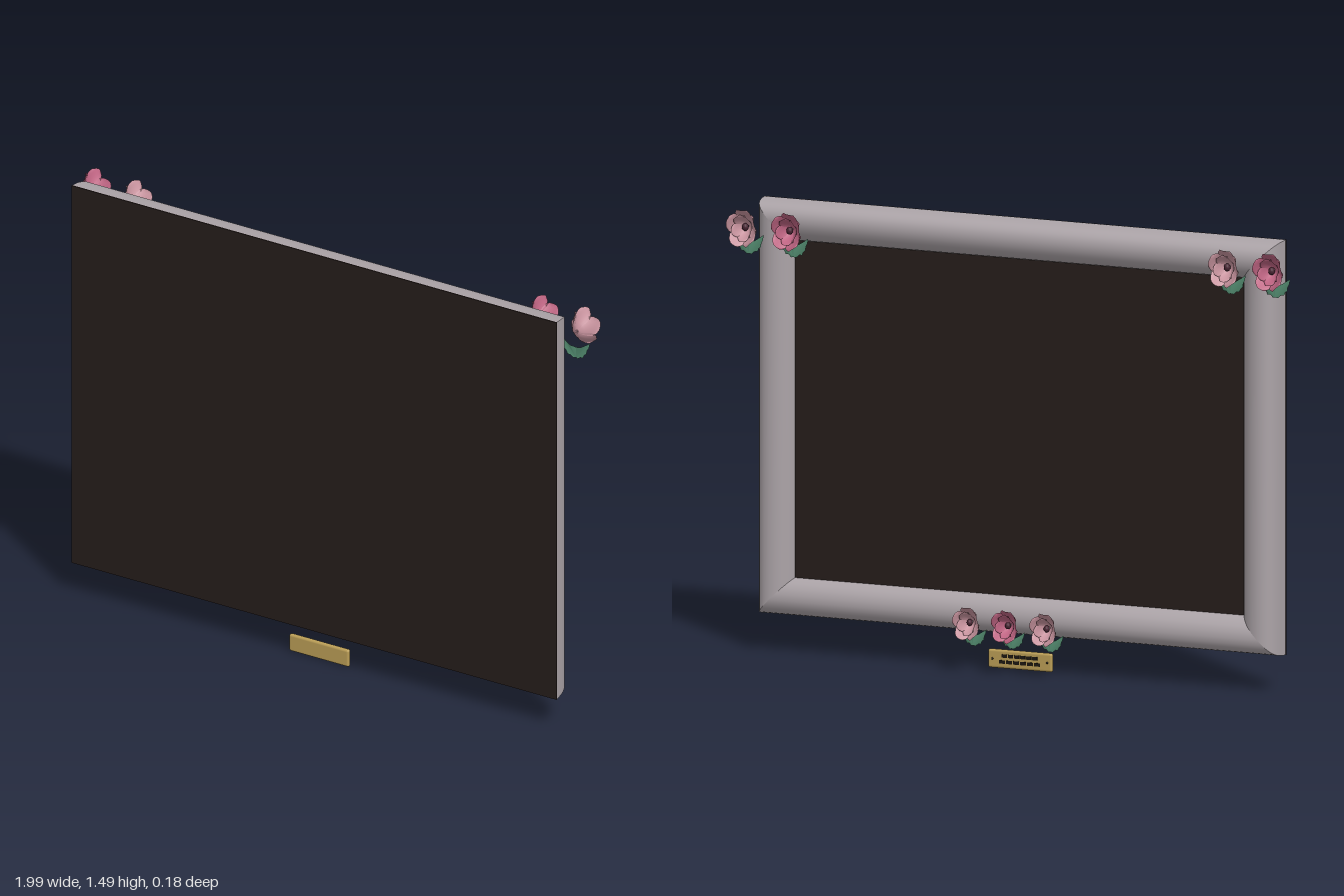
import * as THREE from 'three';
import { RoundedBoxGeometry } from 'three/addons/geometries/RoundedBoxGeometry.js';

const mat = (name, color, side = THREE.FrontSide) => {
  const m = new THREE.MeshStandardMaterial({ color, side });
  m.name = name;
  return m;
};

const W = 0.932, Y0 = 0.115, Y1 = 1.492, MID = (Y0 + Y1) / 2;

// One mitred rail of the frame: a moulding profile [inset, z] swept between two corners
function railGeometry(side) {
  const profile = [
    [0, 0.088], [0.003, 0.055], [0.007, 0.035], [0.012, 0.021], [0.018, 0.011], [0.028, 0.001], [0.042, -0.006],
    [0.06, -0.009], [0.08, -0.006], [0.1, 0.003], [0.115, 0.018], [0.125, 0.034], [0.131, 0.052],
  ];
  const pos = [], index = [];
  profile.forEach(([d, z], i) => {
    const c = [[-W + d, Y0 + d], [W - d, Y0 + d], [W - d, Y1 - d], [-W + d, Y1 - d]];
    pos.push(...c[side], z, ...c[(side + 1) % 4], z);
    if (i < profile.length - 1) {
      const a = i * 2;
      index.push(a, a + 3, a + 1, a, a + 2, a + 3);
    }
  });
  const g = new THREE.BufferGeometry();
  g.setAttribute('position', new THREE.Float32BufferAttribute(pos, 3));
  g.setIndex(index);
  g.computeVertexNormals();
  return g;
}

// A cupped petal opening towards -z, with a pointed, slightly wavy rim
function petalGeometry(radius, depth, halfAngle) {
  const g = new THREE.PlaneGeometry(2, 1, 6, 8);
  const p = g.attributes.position;
  for (let i = 0; i < p.count; i++) {
    const u = p.getX(i), v = p.getY(i) + 0.5;
    const a = u * halfAngle * (1 - 0.55 * Math.pow(v, 5));
    const r = radius * (0.1 + 0.9 * Math.pow(v, 0.7)) * (1 + 0.04 * u * u);
    const h = depth * Math.pow(v, 1.25) * (1 - 0.2 * u * u * v);
    p.setXYZ(i, r * Math.cos(a), r * Math.sin(a), -h);
  }
  g.computeVertexNormals();
  return g;
}

// A serrated leaf, gently bent
function leafGeometry() {
  const outline = [
    [0, -0.054], [0.018, -0.05], [0.034, -0.04], [0.054, -0.027], [0.05, -0.045], [0.044, -0.055],
    [0.042, -0.068], [0.034, -0.074], [0.029, -0.085], [0.019, -0.085], [0.009, -0.094], [0, -0.092],
  ];
  const g = new THREE.ShapeGeometry(new THREE.Shape(outline.map(([x, y]) => new THREE.Vector2(x, y))));
  const p = g.attributes.position;
  for (let i = 0; i < p.count; i++) p.setZ(i, -0.019 + 0.005 * Math.sin(p.getX(i) * 60));
  g.computeVertexNormals();
  return g;
}

export function createModel() {
  const model = new THREE.Group();
  const silver = mat('silver grey', 0xaba3a7);
  const dark = mat('dark brown', 0x261d1b);
  const gold = mat('gold', 0xbb9e56);
  const ink = mat('engraving black', 0x1c1710);
  const rose = mat('deep pink', 0xbe6482, THREE.DoubleSide);
  const blush = mat('pale pink', 0xc9949f, THREE.DoubleSide);
  const green = mat('leaf green', 0x558f73, THREE.DoubleSide);
  const heart = mat('dark plum', 0x4a2634);

  const add = (parent, name, geometry, material, x = 0, y = 0, z = 0) => {
    const m = new THREE.Mesh(geometry, material);
    m.name = name;
    m.position.set(x, y, z);
    parent.add(m);
    return m;
  };

  // Frame moulding
  const frame = new THREE.Group();
  frame.name = 'frame';
  ['bottomRail', 'leftRail', 'topRail', 'rightRail'].forEach((n, i) => add(frame, n, railGeometry(i), silver));
  model.add(frame);

  // Backing board and the recessed picture panel
  add(model, 'backingBoard', new THREE.BoxGeometry(2 * W, Y1 - Y0, 0.004), dark, 0, MID, 0.089);
  add(model, 'picturePanel', new THREE.BoxGeometry(2 * W - 0.25, Y1 - Y0 - 0.25, 0.008), dark, 0, MID, 0.05);

  // Plaque with engraved bars and pins
  const plaque = new THREE.Group();
  plaque.name = 'plaque';
  plaque.position.set(0, 0.031, 0.054);
  add(plaque, 'plate', new RoundedBoxGeometry(0.23, 0.062, 0.016, 4, 0.008), gold);
  [[0.011, 0.13], [-0.009, 0.15]].forEach(([y, width]) => {
    const n = 6, step = width / n;
    for (let i = 0; i < n; i++) {
      add(plaque, 'engravedBar', new THREE.BoxGeometry(step * 0.85, 0.011, 0.004), ink, (i - (n - 1) / 2) * step, y, -0.0085);
    }
  });
  for (const s of [-1, 1]) add(plaque, 'pin', new THREE.SphereGeometry(0.004, 10, 8), ink, s * 0.098, 0, -0.007);
  model.add(plaque);

  // Flowers: a slightly tall cup of petals over a pair of leaves
  const outerPetal = petalGeometry(0.058, 0.064, 0.76);
  const innerPetal = petalGeometry(0.04, 0.056, 0.8);
  const leaf = leafGeometry();
  const flower = (x, y, size, colour, turn) => {
    const f = new THREE.Group();
    f.name = 'flower';
    f.position.set(x, y, 0);
    f.scale.set(size, size, 1);
    const bloom = new THREE.Group();
    bloom.name = 'bloom';
    bloom.position.z = -0.025;
    bloom.scale.set(0.9, 1.08, 1);
    for (let i = 0; i < 5; i++) {
      const a = turn + (i * Math.PI * 2) / 5;
      add(bloom, 'outerPetal', outerPetal, colour).rotation.z = a;
      add(bloom, 'innerPetal', innerPetal, colour, 0, 0, -0.002).rotation.z = a + Math.PI / 5;
    }
    add(bloom, 'flowerHeart', new THREE.SphereGeometry(0.012, 12, 8), heart, 0, 0, -0.022);
    f.add(bloom);
    for (const s of [-1, 1]) add(f, 'leaf', leaf, green).scale.x = s;
    model.add(f);
  };
  [
    [-0.942, 1.412, 1, rose], [-0.783, 1.412, 1, blush],
    [0.78, 1.412, 1, rose], [0.939, 1.412, 1, blush],
    [-0.138, 0.163, 0.88, blush], [0, 0.163, 0.88, rose], [0.137, 0.163, 0.88, blush],
  ].forEach(([x, y, s, c], i) => flower(x, y, s, c, Math.PI / 2 + (i % 3) * 0.08));

  return model;
}
